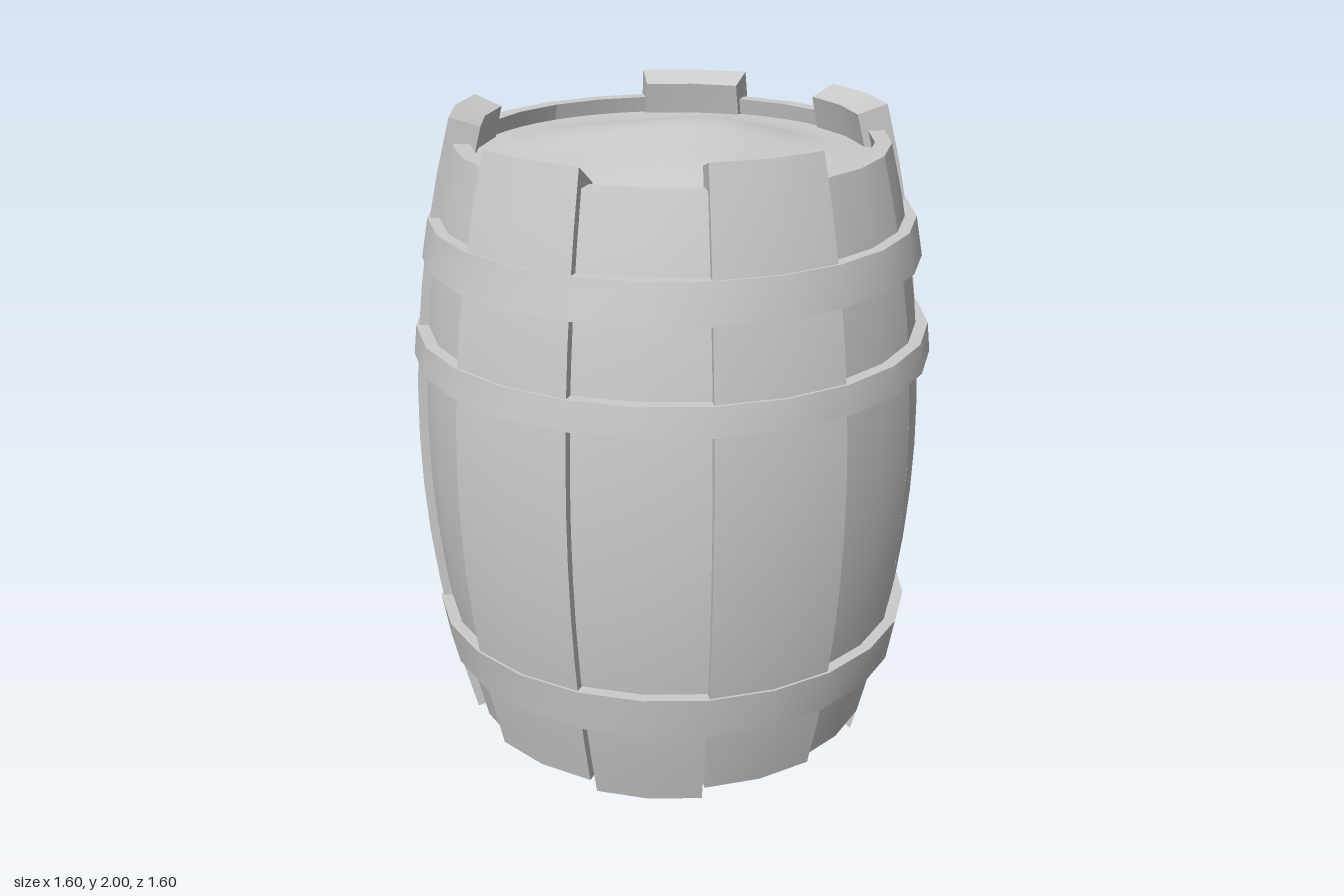
import * as THREE from 'three';
import { toCreasedNormals, mergeVertices } from 'three/addons/utils/BufferGeometryUtils.js';

const grey = new THREE.MeshStandardMaterial({ color: 0xcccccc });
grey.name = 'plain grey';

const rad = THREE.MathUtils.degToRad;
const lerp = THREE.MathUtils.lerp;

// Barrel bulge: radius loss at a height
const bulge = (y) => 0.14 * (y - 1) * (y - 1);

function mesh(name, geometry) {
  const m = new THREE.Mesh(geometry, grey);
  m.name = name;
  return m;
}

// Bends a box round the y axis: its x becomes angle, y height, z inside to outside
function bend(a0, a1, angleSteps, heightSteps, place) {
  const g = new THREE.BoxGeometry(1, 1, 1, angleSteps, heightSteps, 1);
  const p = g.attributes.position;
  for (let i = 0; i < p.count; i++) {
    const a = rad(lerp(a0, a1, p.getX(i) + 0.5));
    const [r, y] = place(p.getY(i) + 0.5, p.getZ(i) > 0);
    p.setXYZ(i, r * Math.sin(a), y, r * Math.cos(a));
  }
  return toCreasedNormals(g, 0.5);
}

// One stave, 30 degrees wide
function stave(mid, raised, low) {
  const left = mid === -90;
  const topOut = raised ? (left ? 1.98 : 2) : 1.92;
  const topIn = raised ? (left ? 1.92 : 1.97) : 1.92;
  const botOut = low ? 0 : 0.07;
  const botIn = low ? 0.03 : 0.07;
  const r0 = raised ? 0.8 : 0.772;
  const thick = raised ? 0.1 : 0.05;
  return bend(mid - 15, mid + 15, 2, 12, (t, outer) => {
    const y = outer ? lerp(botOut, topOut, t) : lerp(botIn, topIn, t);
    return [r0 - bulge(y) - (outer ? 0 : thick), y];
  });
}

// Iron band with a straight, slightly conical face
function hoop(y0, y1, r0, r1) {
  return bend(0, 360, 24, 1, (t, outer) =>
    [lerp(r0, r1, t) - (outer ? 0 : 0.06), lerp(y0, y1, t)]);
}

// Lumpy filling just below the rim
function filling() {
  let g = new THREE.RingGeometry(0.001, 0.61, 48, 12);
  g.rotateX(-Math.PI / 2);
  g.deleteAttribute('uv');
  g.deleteAttribute('normal');
  const p = g.attributes.position;
  for (let i = 0; i < p.count; i++) {
    const x = p.getX(i), z = p.getZ(i);
    const d = Math.min(1, Math.hypot(x, z) / 0.61);
    const dome = 0.085 * (0.5 + 0.5 * Math.cos(Math.PI * d));
    const lumps = 0.018 * (1 - d * d) * Math.sin(7 * x + 2 * z) * Math.cos(8 * z - 3 * x);
    p.setY(i, 1.87 + dome + lumps);
  }
  g = mergeVertices(g);
  g.computeVertexNormals();
  return g;
}

// Floor plank: a slice of a disc between two parallel lines
function plank(v0, v1) {
  const R = 0.61, n = 8, right = [], left = [];
  for (let i = 0; i <= n; i++) {
    const v = lerp(v0, v1, i / n);
    const u = Math.sqrt(Math.max(0, R * R - v * v));
    right.push(new THREE.Vector2(u, v));
    left.unshift(new THREE.Vector2(-u, v));
  }
  const g = new THREE.ExtrudeGeometry(new THREE.Shape([...right, ...left]),
    { depth: 0.06, bevelEnabled: false });
  g.rotateX(-Math.PI / 2);
  return g;
}

export function createModel() {
  const model = new THREE.Group();
  model.name = 'barrel';

  // Staves: some stand proud, some reach the ground
  const raised = [-30, 60, 120, -90, -150];
  const low = [30, 60, 120, -150, -60];
  const staves = new THREE.Group();
  staves.name = 'staves';
  for (let mid = -150; mid <= 180; mid += 30) {
    const isRaised = raised.includes(mid);
    staves.add(mesh(isRaised ? 'raisedStave' : 'stave', stave(mid, isRaised, low.includes(mid))));
  }
  model.add(staves);

  // Hoops
  model.add(mesh('upperHoop', hoop(1.58, 1.7, 0.76, 0.738)));
  model.add(mesh('middleHoop', hoop(1.275, 1.365, 0.8, 0.79)));
  model.add(mesh('lowerHoop', hoop(0.29, 0.43, 0.738, 0.762)));

  // Filling
  model.add(mesh('filling', filling()));

  // Floor planks, one half sitting a little lower
  const floor = new THREE.Group();
  floor.name = 'floor';
  const lines = [-0.61, -0.33, 0, 0.33, 0.61];
  for (let i = 0; i < 4; i++) {
    const p = mesh('floorPlank', plank(lines[i] + 0.002, lines[i + 1] - 0.002));
    p.position.y = i < 2 ? 0.085 : 0.11;
    floor.add(p);
  }
  floor.rotation.y = -Math.PI / 6;
  model.add(floor);

  return model;
}
